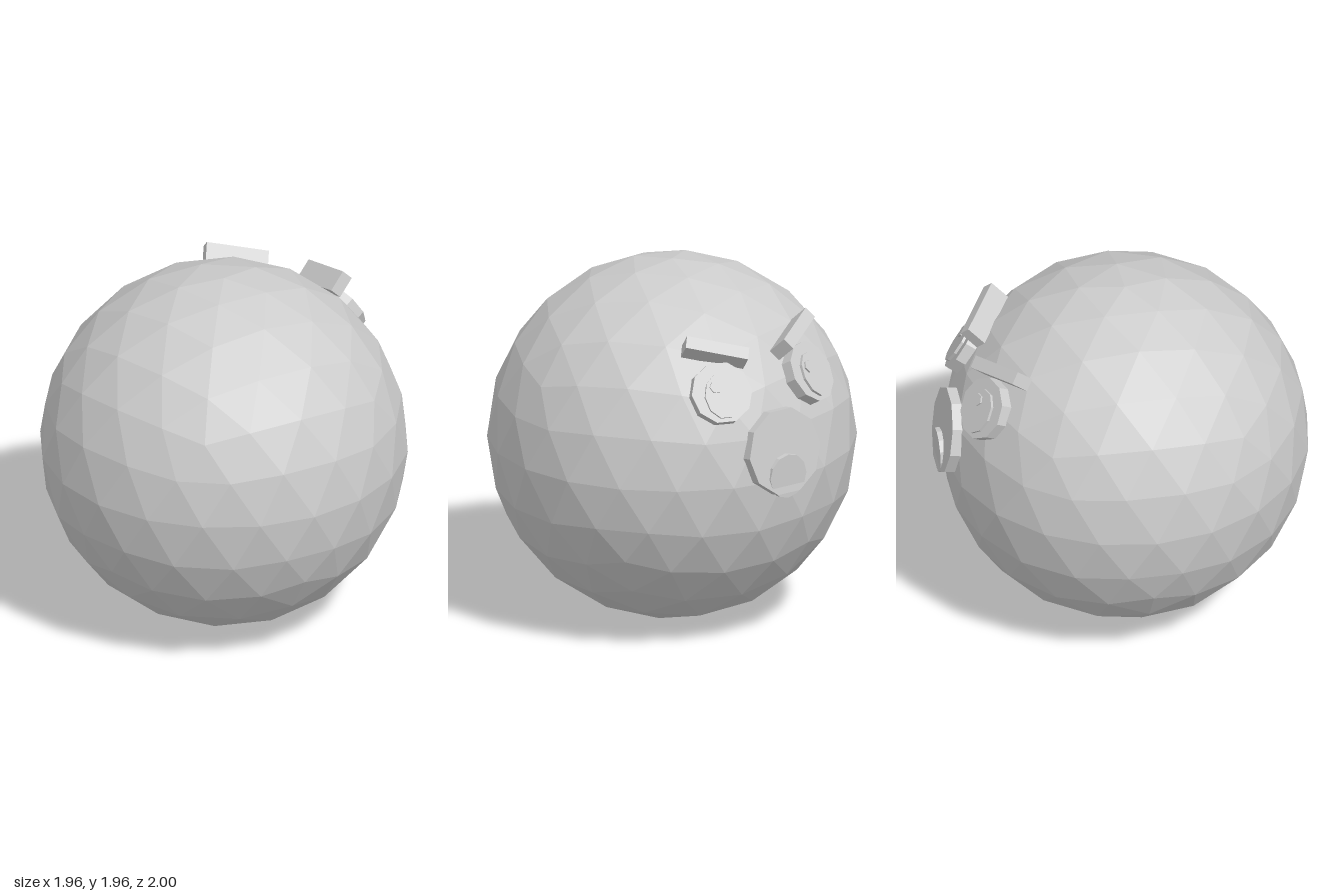
import * as THREE from 'three';

const RADIUS = 0.98;
const rad = THREE.MathUtils.degToRad;

export function createModel() {
  const root = new THREE.Group();
  root.name = 'roundCreature';
  const grey = new THREE.MeshStandardMaterial({ color: 0xcccccc, flatShading: true });
  grey.name = 'light grey';

  // Everything is placed around the centre of the ball
  const creature = new THREE.Group();
  creature.name = 'creature';
  creature.position.set(0, 0.983, 1 - RADIUS);
  root.add(creature);

  const add = (parent, name, geometry) => {
    const mesh = new THREE.Mesh(geometry, grey);
    mesh.name = name;
    parent.add(mesh);
    return mesh;
  };

  // Group at the ball's centre whose local +z points out through the back,
  // turned sideways and raised by angles in degrees
  const outward = (name, azimuth, elevation) => {
    const g = new THREE.Group();
    g.name = name;
    g.rotation.set(-rad(elevation), Math.PI - rad(azimuth), 0, 'YXZ');
    creature.add(g);
    return g;
  };

  // Disc facing local +z, with its front face at distance `front`
  const disc = (radius, front, depth, sides) =>
    new THREE.CylinderGeometry(radius, radius, depth, sides)
      .rotateY(Math.PI / 2)
      .rotateX(Math.PI / 2)
      .translate(0, 0, front - depth / 2);

  // Faceted ball body, one corner of the icosahedron straight up
  add(creature, 'body', new THREE.IcosahedronGeometry(RADIUS, 3)
    .rotateX(-Math.atan((1 + Math.sqrt(5)) / 2))
    .rotateY(Math.PI / 2));

  // Muzzle, with an upright mouth disc just emerging from it
  add(outward('muzzle', 0, 9.3), 'muzzleDisc', disc(0.235, 0.995, 0.08, 10));
  add(outward('mouth', 0, 0), 'mouthDisc', disc(0.12, 1.012, 0.03, 12))
    .position.y = 0.03;

  for (const side of [1, -1]) {
    const label = side > 0 ? 'left' : 'right';

    // Eye: white, taller iris, and a glint offset the same way on both
    const eye = outward(label + 'Eye', side * 20, 30);
    add(eye, label + 'EyeWhite', disc(0.168, 1.015, 0.08, 10));
    const iris = add(eye, label + 'Iris', disc(0.1, 1.03, 0.03, 10));
    iris.scale.y = 1.25;
    iris.position.y = -0.02;
    add(eye, label + 'Glint', disc(0.035, 1.04, 0.02, 6))
      .position.set(-0.035, 0.03, 0);

    // Slanted brow block, higher at its outer end
    const brow = outward(label + 'Brow', side * 20, 42.5);
    const block = add(brow, label + 'BrowBlock', new THREE.BoxGeometry(0.34, 0.07, 0.12));
    block.position.z = 1.025;
    block.rotation.z = -side * rad(17.5);
  }
  return root;
}
